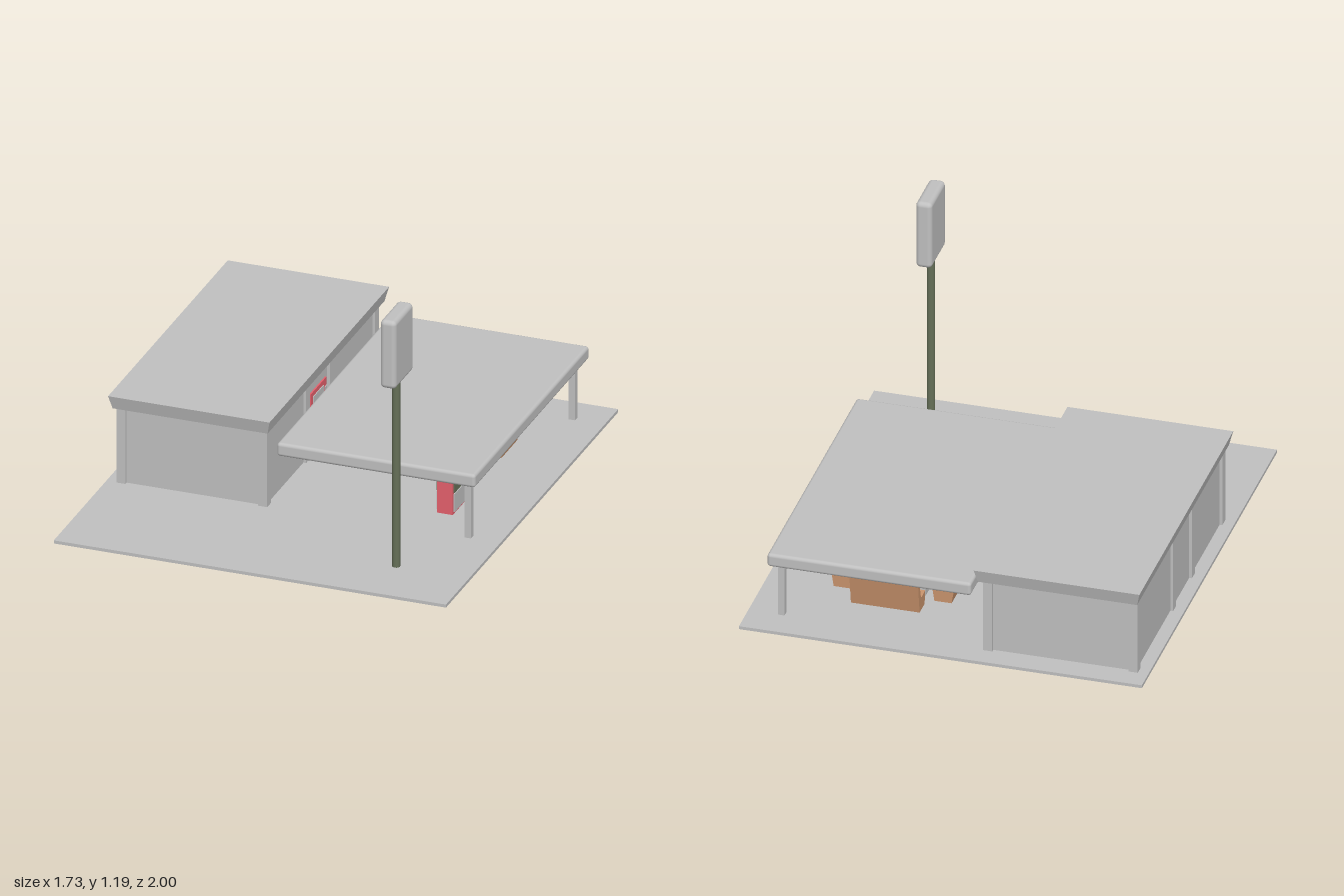
import * as THREE from 'three';
import { RoundedBoxGeometry } from 'three/addons/geometries/RoundedBoxGeometry.js';

export function createModel() {
  const root = new THREE.Group();
  root.name = 'roadsideStop';
  const mat = (name, color) => {
    const m = new THREE.MeshStandardMaterial({ color });
    m.name = name;
    return m;
  };
  const gray = mat('concreteGray', 0xc0c0c0);
  const red = mat('machineRed', 0xe4606c);
  const olive = mat('darkOlive', 0x667058);
  const tan = mat('benchTan', 0xc8936c);
  const dark = mat('bottleDark', 0x70403c);

  const add = (name, geo, m, x = 0, y = 0, z = 0, parent = root) => {
    const mesh = new THREE.Mesh(geo, m);
    mesh.name = name;
    mesh.position.set(x, y, z);
    parent.add(mesh);
    return mesh;
  };
  // Box given by its limits on each axis, with an optional rounding radius
  const span = (name, m, [x0, x1], [y0, y1], [z0, z1], r = 0, parent = root) => {
    const s = [x1 - x0, y1 - y0, z1 - z0];
    const geo = r ? new RoundedBoxGeometry(...s, 3, r) : new THREE.BoxGeometry(...s);
    return add(name, geo, m, (x0 + x1) / 2, (y0 + y1) / 2, (z0 + z1) / 2, parent);
  };

  // Ground slab
  span('groundSlab', gray, [-0.865, 0.865], [0.014, 0.028], [-1, 1]);

  // Building: posts with recessed wall panels
  const building = new THREE.Group();
  building.name = 'building';
  root.add(building);
  for (const x of [-0.8, -0.175])
    for (const z of [-0.885, -0.36, -0.083, 0.369])
      span('wallPost', gray, [x - 0.02, x + 0.02], [0.012, 0.375], [z - 0.022, z + 0.022], 0, building);
  span('walls', gray, [-0.808, -0.167], [0.028, 0.375], [-0.893, 0.377], 0, building);

  // Roof slab whose sides flare outward toward the top
  const roof = new THREE.BoxGeometry(0.712, 0.06, 1.39);
  const p = roof.attributes.position;
  for (let i = 0; i < p.count; i++)
    if (p.getY(i) < 0) {
      p.setX(i, p.getX(i) * 0.96);
      p.setZ(i, p.getZ(i) * 0.977);
    }
  roof.computeVertexNormals();
  add('flaredRoof', roof, gray, -0.487, 0.405, -0.267, building);

  // Canopy on two outer posts
  span('canopy', gray, [-0.105, 0.77], [0.28, 0.34], [-0.915, 0.415], 0.014);
  for (const z of [-0.85, 0.358])
    span('canopyPost', gray, [0.709, 0.737], [0, 0.285], [z - 0.014, z + 0.014]);

  // Roadside sign
  add('signPole', new THREE.CylinderGeometry(0.017, 0.017, 0.87, 12), olive, 0.542, 0.453, 0.728);
  span('signBox', gray, [0.507, 0.577], [0.88, 1.19], [0.615, 0.83], 0.02);

  // Rounded upright outline in the z-y plane, extruded along x
  const upright = (w, h, r, d) => {
    const s = new THREE.Shape();
    s.moveTo(-w / 2, 0);
    s.lineTo(w / 2, 0);
    s.lineTo(w / 2, h - r);
    s.absarc(w / 2 - r, h - r, r, 0, Math.PI / 2);
    s.absarc(-w / 2 + r, h - r, r, Math.PI / 2, Math.PI);
    s.closePath();
    const g = new THREE.ExtrudeGeometry(s, { depth: d, bevelEnabled: false, curveSegments: 6 });
    return g.translate(0, 0, -d / 2).rotateY(Math.PI / 2);
  };

  // Pump with window and panels on both faces
  const pump = new THREE.Group();
  pump.name = 'pump';
  pump.position.set(0.552, 0.028, 0.12);
  root.add(pump);
  add('pumpBody', upright(0.14, 0.217, 0.035, 0.07), red, 0, 0, 0, pump);
  for (const s of [-1, 1]) {
    const x = [s * 0.037 - 0.003, s * 0.037 + 0.003];
    span('pumpHeader', gray, x, [0.182, 0.194], [-0.055, 0.055], 0, pump);
    span('pumpWindow', olive, x, [0.097, 0.182], [-0.06, 0.06], 0, pump);
    span('pumpLowerPanel', gray, x, [0.01, 0.092], [-0.06, 0.06], 0, pump);
  }

  // Vending machine set into the wall bay
  const vending = new THREE.Group();
  vending.name = 'vendingMachine';
  root.add(vending);
  span('vendingBody', red, [-0.22, -0.16], [0.028, 0.31], [-0.313, -0.13], 0, vending);
  const face = [-0.161, -0.156];
  span('displayPane', gray, face, [0.15, 0.29], [-0.27, -0.155], 0, vending);
  for (const y of [0.12, 0.175, 0.225, 0.265])
    span('buttonPlate', gray, face, [y - 0.01, y + 0.01], [-0.308, -0.285], 0, vending);
  span('coinTray', gray, face, [0.088, 0.1], [-0.265, -0.165], 0, vending);
  span('pickupSlot', olive, face, [0.034, 0.052], [-0.265, -0.18], 0, vending);

  // Benches around the table, all sharing one side profile
  const profile = [[0.022, 0], [0, 0.135], [0.024, 0.135], [0.036, 0.075],
    [0.05, 0.057], [0.105, 0.06], [0.096, 0]].reverse();
  const bench = (name, length, x, z, angle) => {
    const s = new THREE.Shape(profile.map(([a, b]) => new THREE.Vector2(a, b)));
    const g = new THREE.ExtrudeGeometry(s, { depth: length, bevelEnabled: false });
    g.translate(0, 0, -length / 2);
    add(name, g, tan, x, 0.028, z).rotation.y = angle;
  };
  bench('leftBench', 0.187, 0.053, -0.483, 0);
  bench('rightBench', 0.187, 0.603, -0.483, Math.PI);
  bench('backBench', 0.295, 0.328, -0.708, -Math.PI / 2);

  // Table with bottles
  span('tableBase', gray, [0.195, 0.462], [0.028, 0.082], [-0.55, -0.415]);
  span('tableTop', gray, [0.187, 0.47], [0.082, 0.09], [-0.56, -0.405]);
  for (const x of [0.412, 0.445]) {
    add('bottle', new THREE.CylinderGeometry(0.007, 0.007, 0.02, 10), dark, x, 0.1, -0.47);
    add('bottleNeck', new THREE.CylinderGeometry(0.003, 0.006, 0.014, 10), dark, x, 0.117, -0.47);
  }
  return root;
}
